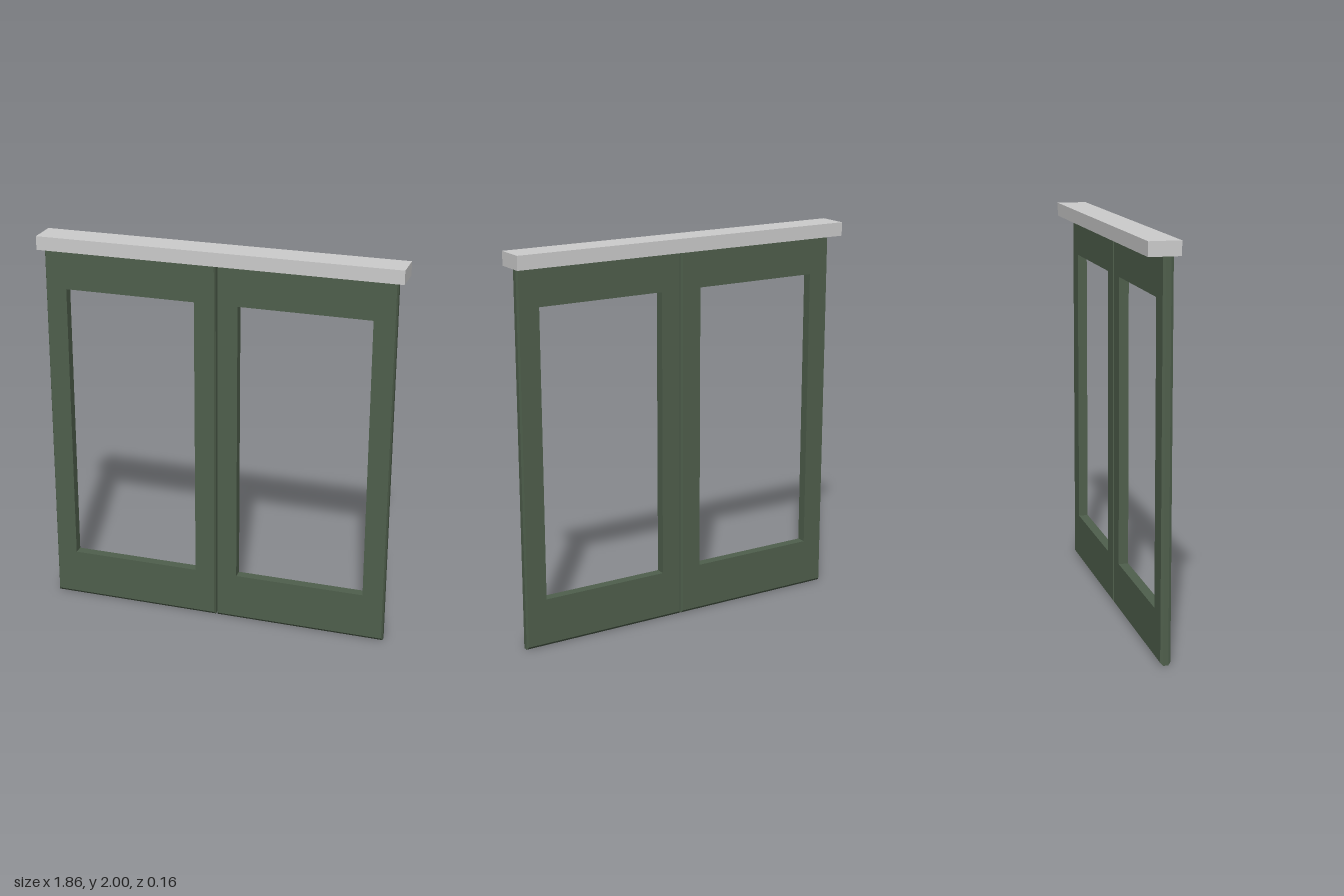
import * as THREE from 'three';

const GREEN = new THREE.MeshStandardMaterial({ color: 0x4f5f4c });
const GREY = new THREE.MeshStandardMaterial({ color: 0xcccccc });

const TOP = 1.93;      // underside of the header
const DEPTH = 0.05;    // door thickness
const LAYERS = [0, 0.012, DEPTH - 0.012, DEPTH];

function rectangle(PathType, x0, y0, x1, y1) {
  const p = new PathType();
  p.moveTo(x0, y0);
  p.lineTo(x1, y0);
  p.lineTo(x1, y1);
  p.lineTo(x0, y1);
  p.closePath();
  return p;
}

// Framed door leaf with one opening; outer edges are chamfered front and back
function doorLeaf(name, x0, x1, open0, open1) {
  const shape = rectangle(THREE.Shape, x0, 0, x1, TOP);
  shape.holes.push(rectangle(THREE.Path, open0, 0.25, open1, 1.73));
  const geometry = new THREE.ExtrudeGeometry(shape, { depth: DEPTH, steps: 3, bevelEnabled: false });

  const pos = geometry.attributes.position;
  const near = (a, b) => Math.abs(a - b) < 1e-4;
  for (let i = 0; i < pos.count; i++) {
    const layer = Math.round(pos.getZ(i) / DEPTH * 3);
    let x = pos.getX(i), y = pos.getY(i);
    if (layer === 0 || layer === 3) {
      if (near(x, x0)) x += 0.006;
      else if (near(x, x1)) x -= 0.006;
      if (near(y, 0)) y += 0.014;
    }
    pos.setXYZ(i, x, y, LAYERS[layer]);
  }
  geometry.computeVertexNormals();

  const mesh = new THREE.Mesh(geometry, GREEN);
  mesh.name = name;
  return mesh;
}

export function createModel() {
  const model = new THREE.Group();
  model.name = 'doubleDoor';

  // Two leaves with a narrow gap between them
  model.add(doorLeaf('rightDoor', -0.902, -0.006, -0.79, -0.115));
  model.add(doorLeaf('leftDoor', 0.001, 0.896, 0.109, 0.784));

  // Header beam along the top
  const header = new THREE.Mesh(new THREE.BoxGeometry(1.86, 2 - TOP, 0.156), GREY);
  header.name = 'header';
  header.position.set(0, (2 + TOP) / 2, 0);
  model.add(header);

  return model;
}
